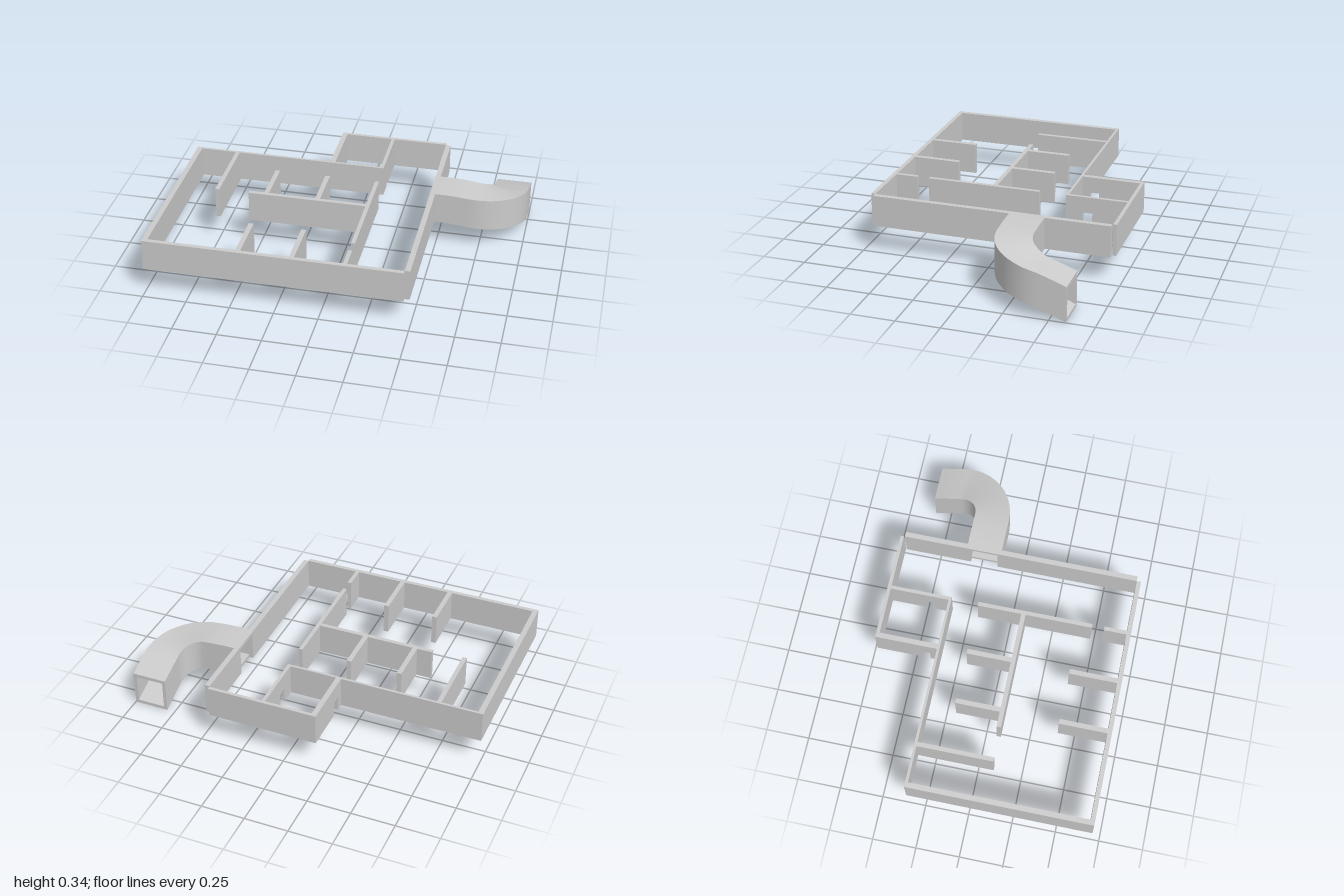
import * as THREE from 'three';
import { toCreasedNormals } from 'three/addons/utils/BufferGeometryUtils.js';

const BASE = 0.157, TOP = 0.34;

export function createModel() {
  const model = new THREE.Group();
  const material = new THREE.MeshStandardMaterial({ color: 0xcccccc });
  const add = (name, geometry) => {
    const mesh = new THREE.Mesh(geometry, material);
    mesh.name = name;
    model.add(mesh);
  };

  // Plain wall given by its floor plan rectangle
  const wall = (name, x0, x1, z0, z1) => {
    const g = new THREE.BoxGeometry(x1 - x0, TOP - BASE, z1 - z0);
    g.translate((x0 + x1) / 2, (BASE + TOP) / 2, (z0 + z1) / 2);
    add(name, g);
  };

  // Wall running along z with a doorway cut up from the floor
  const doorWall = (name, x0, x1, z0, z1, d0, d1, doorTop) => {
    const outline = [[z0, BASE], [d0, BASE], [d0, doorTop], [d1, doorTop],
      [d1, BASE], [z1, BASE], [z1, TOP], [z0, TOP]];
    const shape = new THREE.Shape(outline.map(([z, y]) => new THREE.Vector2(z, y)));
    const g = new THREE.ExtrudeGeometry(shape, { depth: x1 - x0, bevelEnabled: false });
    g.rotateY(-Math.PI / 2).translate(x1, 0, 0);
    add(name, g);
  };

  // Outer walls
  wall('leftOuterWall', -1, -0.97, -0.355, 0.705);
  wall('frontWall', -0.97, 0.46, 0.68, 0.705);
  wall('backWall', -0.97, 0.145, -0.355, -0.34);
  wall('annexBackWall', -0.18, 0.46, -0.715, -0.695);
  doorWall('annexSideWall', -0.18, -0.15, -0.695, -0.355, -0.455, -0.4, 0.245);
  doorWall('tunnelSideWall', 0.46, 0.49, -0.69, 0.68, -0.3, -0.14, 0.32);

  // Inner walls
  doorWall('annexPartition', 0.125, 0.145, -0.695, -0.355, -0.495, -0.44, 0.245);
  wall('longPartition', -0.76, -0.735, -0.34, 0.095);
  wall('corridorWall', -0.56, 0.125, 0.07, 0.095);
  wall('hallWall', 0.125, 0.148, -0.185, 0.48);
  wall('hallWallStub', 0.125, 0.148, 0.55, 0.68);
  for (const x of [-0.472, -0.172]) {
    wall('backRoomDivider', x, x + 0.028, -0.185, 0.07);
    wall('frontRoomDivider', x, x + 0.028, 0.405, 0.68);
  }

  add('entranceTunnel', tunnelGeometry());
  return model;
}

// Hollow square duct that turns a right angle while dropping to the ground
function tunnelGeometry() {
  const startX = 0.485, bendX = 0.688, bendZ = -0.43, radius = 0.21, endZ = -0.593;
  const stations = []; // centre x, z, heading angle, distance
  for (let i = 0; i < 4; i++) {
    const x = startX + (bendX - startX) * i / 4;
    stations.push([x, bendZ + radius, 0, x - startX]);
  }
  const arcStart = bendX - startX, arcEnd = arcStart + radius * Math.PI / 2;
  for (let i = 0; i <= 14; i++) {
    const a = Math.PI / 2 * i / 14;
    stations.push([bendX + radius * Math.sin(a), bendZ + radius * Math.cos(a), a, arcStart + radius * a]);
  }
  for (let i = 1; i <= 4; i++) {
    const z = bendZ + (endZ - bendZ) * i / 4;
    stations.push([bendX + radius, z, Math.PI / 2, arcEnd + bendZ - z]);
  }
  const length = stations.at(-1)[3];

  // Each ring: four outer corners, then four inner corners
  const corners = [[1, -1], [1, 1], [-1, 1], [-1, -1]];
  const positions = [];
  for (const [x, z, a, d] of stations) {
    const t = d / length, y = 0.2475 - 0.146 * t * t, half = 0.0925 + 0.009 * t;
    for (const inset of [0, 0.02]) {
      for (const [side, up] of corners) {
        const w = side * (0.101 - inset);
        positions.push(x + w * Math.sin(a), y + up * (half - inset), z + w * Math.cos(a));
      }
    }
  }

  const index = [];
  const quad = (a, b, c, d) => index.push(a, b, c, a, c, d);
  const last = (stations.length - 1) * 8;
  for (let k = 0; k < 4; k++) {
    const n = (k + 1) % 4;
    for (let r = 0; r < last; r += 8) {
      quad(r + k, r + 8 + k, r + 8 + n, r + n);
      quad(r + 4 + k, r + 4 + n, r + 12 + n, r + 12 + k);
    }
    // Rims at both mouths
    quad(k, n, n + 4, k + 4);
    quad(last + k, last + k + 4, last + n + 4, last + n);
  }
  const g = new THREE.BufferGeometry();
  g.setAttribute('position', new THREE.Float32BufferAttribute(positions, 3));
  g.setIndex(index);
  return toCreasedNormals(g, Math.PI / 6);
}
